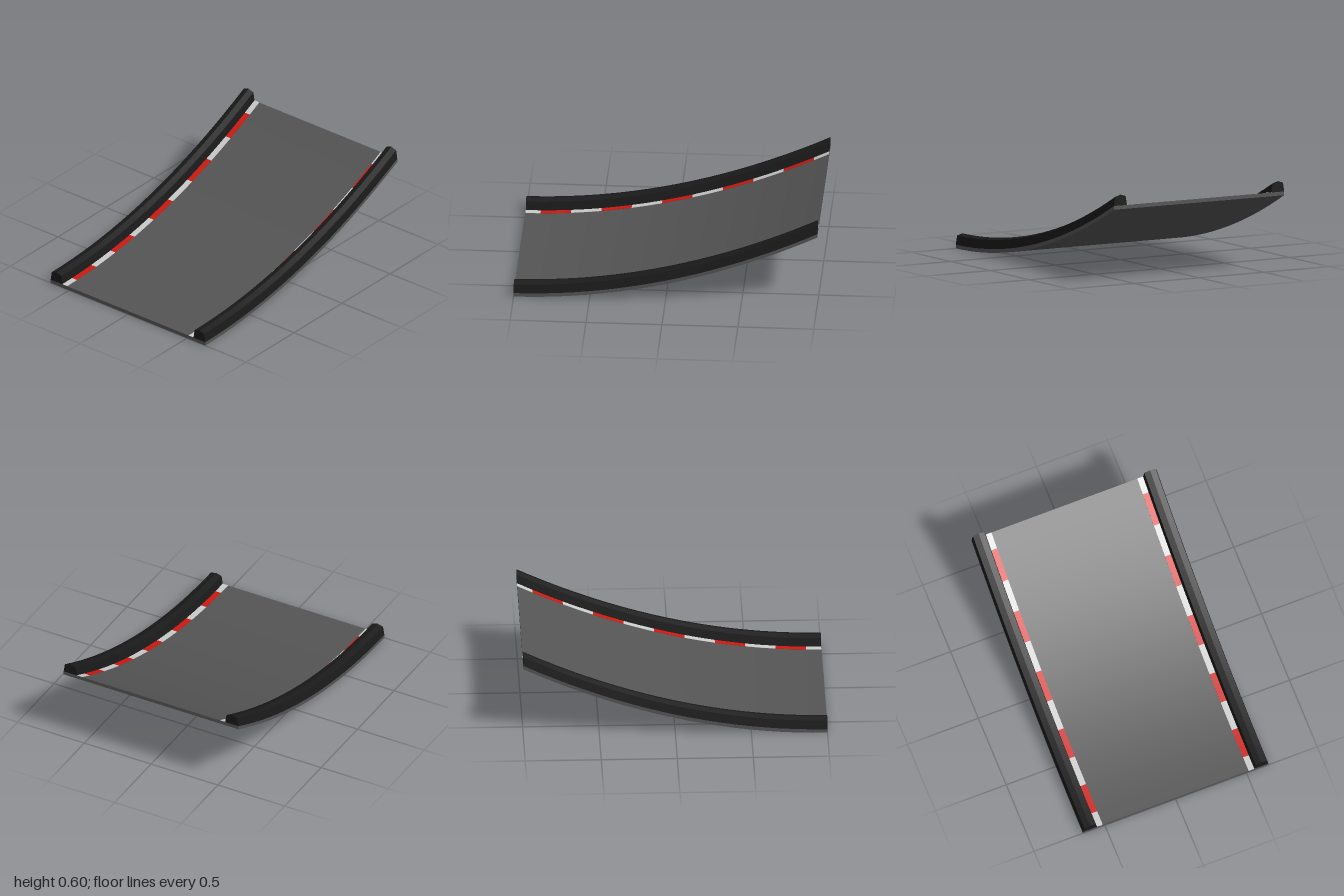
import * as THREE from 'three';
import { toCreasedNormals } from 'three/addons/utils/BufferGeometryUtils.js';

const RISE = 0.5;       // height gained from front to back
const DECK = 0.025;     // deck thickness
const HALF_WIDTH = 0.655;

// Height of the ramp's underside at z: a parabola, level at the front
const rampHeight = (z) => RISE * ((1 - z) / 2) ** 2;

// Sweep an x/y profile along the ramp from z0 to z1
function sweep(points, z0, z1, steps) {
  const shape = new THREE.Shape(points.map(([x, y]) => new THREE.Vector2(x, y)));
  const geometry = new THREE.ExtrudeGeometry(shape, { depth: z1 - z0, steps, bevelEnabled: false });
  geometry.translate(0, 0, z0);
  const pos = geometry.attributes.position;
  for (let i = 0; i < pos.count; i++) pos.setY(i, pos.getY(i) + rampHeight(pos.getZ(i)));
  return toCreasedNormals(geometry, 0.15);
}

export function createModel() {
  const group = new THREE.Group();
  const deckMaterial = new THREE.MeshStandardMaterial({ color: 0x555555 });
  const railMaterial = new THREE.MeshStandardMaterial({ color: 0x1a1a1a });
  const redMaterial = new THREE.MeshStandardMaterial({ color: 0xcc1a11 });
  const whiteMaterial = new THREE.MeshStandardMaterial({ color: 0xcccccc });

  const add = (name, geometry, material) => {
    const mesh = new THREE.Mesh(geometry, material);
    mesh.name = name;
    group.add(mesh);
  };

  // Curved deck slab
  add('deck', sweep([
    [-HALF_WIDTH, 0], [HALF_WIDTH, 0], [HALF_WIDTH, DECK], [-HALF_WIDTH, DECK],
  ], -1, 1, 20), deckMaterial);

  for (const [side, s] of [['left', 1], ['right', -1]]) {
    // Side rail with tapered flanks and a low ridge on top
    add(side + 'Rail', sweep([
      [s * 0.555, DECK], [s * 0.655, DECK], [s * 0.645, DECK + 0.06],
      [s * 0.605, DECK + 0.072], [s * 0.565, DECK + 0.06],
    ], -1, 1, 20), railMaterial);

    // Kerb: alternating blocks, with half-length white ones at both ends
    for (let i = 0; i <= 10; i++) {
      const z0 = Math.max(-1, -1.1 + i * 0.2);
      const z1 = Math.min(1, -0.9 + i * 0.2);
      const profile = [
        [s * 0.515, DECK - 0.005], [s * 0.557, DECK - 0.005],
        [s * 0.557, DECK + 0.002], [s * 0.515, DECK + 0.002],
      ];
      const red = i % 2 === 1;
      add(side + (red ? 'RedKerb' : 'WhiteKerb') + i,
        sweep(profile, z0, z1, Math.round((z1 - z0) / 0.1)), red ? redMaterial : whiteMaterial);
    }
  }
  return group;
}
